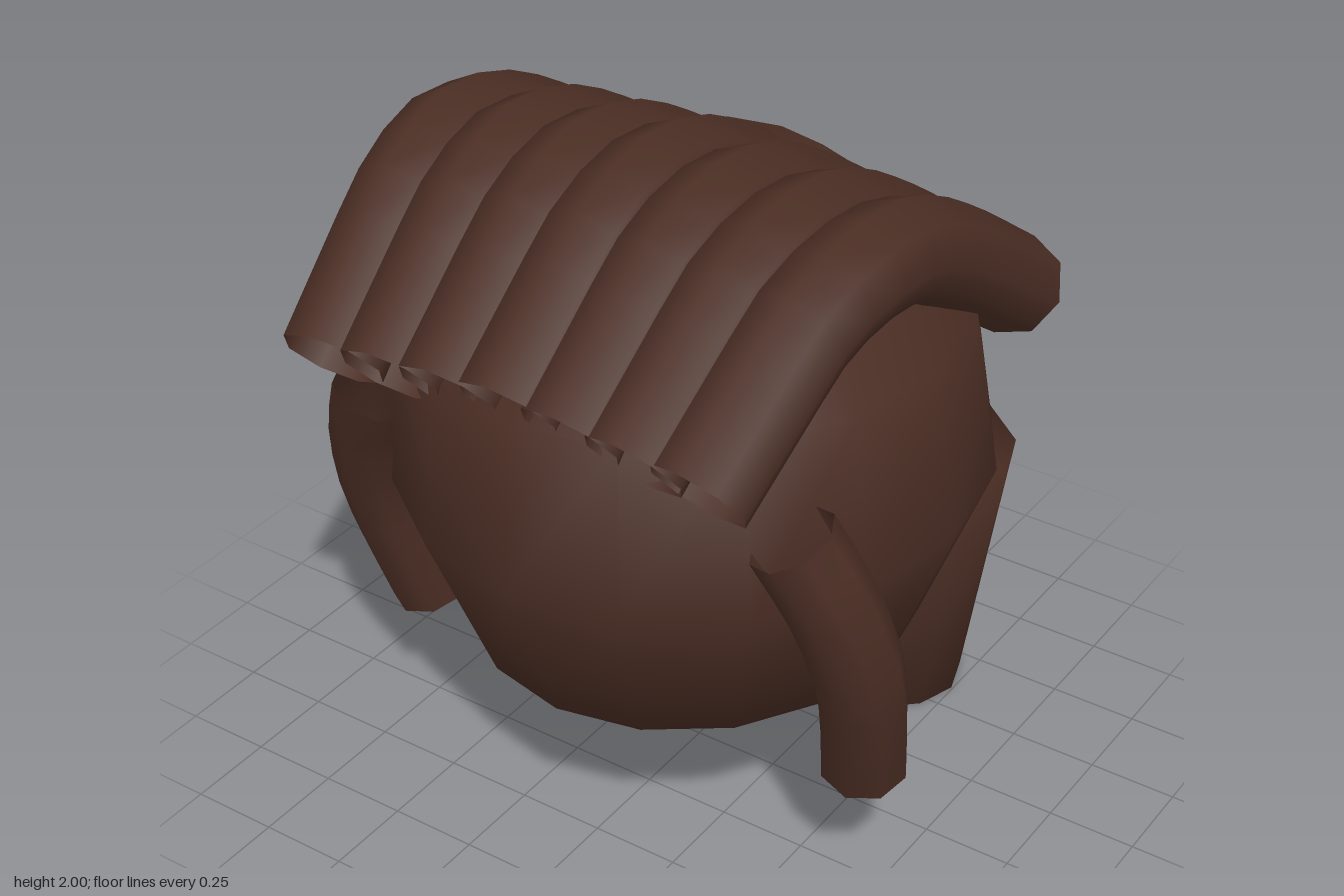
import * as THREE from 'three';

const brown = new THREE.MeshStandardMaterial({ color: 0x4b2e24, side: THREE.DoubleSide });
brown.name = 'dark brown hair';

// Closed, smooth loft through elliptical rings listed upwards as [y, centre z, radius x, radius z]
function loft(rings, sides = 16) {
  const pos = [], index = [];
  for (const [y, cz, rx, rz] of rings) {
    for (let i = 0; i < sides; i++) {
      const a = (i / sides) * Math.PI * 2;
      pos.push(Math.sin(a) * rx, y, cz + Math.cos(a) * rz);
    }
  }
  for (let r = 0; r < rings.length - 1; r++) {
    for (let i = 0; i < sides; i++) {
      const j = (i + 1) % sides, a = r * sides, b = a + sides;
      index.push(a + i, a + j, b + j, a + i, b + j, b + i);
    }
  }
  // end caps
  const last = rings.length - 1, low = pos.length / 3, high = low + 1;
  pos.push(0, rings[0][0], rings[0][1], 0, rings[last][0], rings[last][1]);
  for (let i = 0; i < sides; i++) {
    const j = (i + 1) % sides;
    index.push(low, j, i, high, last * sides + i, last * sides + j);
  }
  const g = new THREE.BufferGeometry();
  g.setAttribute('position', new THREE.Float32BufferAttribute(pos, 3));
  g.setIndex(index);
  g.computeVertexNormals();
  return g;
}

// Open eight-sided lock of hair along a smooth path
function lock(points, radius, segments) {
  const curve = new THREE.CatmullRomCurve3(points.map(p => new THREE.Vector3(...p)));
  return new THREE.TubeGeometry(curve, segments, radius, 8, false);
}

export function createModel() {
  const group = new THREE.Group();
  const add = (name, geometry) => {
    const mesh = new THREE.Mesh(geometry, brown);
    mesh.name = name;
    group.add(mesh);
  };

  // Rounded cap of hair with a flat underside
  add('hairCap', loft([
    [0.525, 0.01, 0.605, 0.655],
    [1.0, 0.01, 0.79, 0.845],
    [1.48, 0.04, 0.73, 0.78],
    [1.77, 0.02, 0.38, 0.405],
  ]));

  // Tapered mass hanging at the back
  add('backHair', loft([
    [0, -0.5875, 0.495, 0.3025],
    [0.88, -0.5, 0.67, 0.365],
  ]));

  // Seven locks combed over the crown, drawing together at the front: [z, y]
  const sweep = [[0.81, 1.515], [0.6, 1.68], [0.42, 1.81], [0.22, 1.863],
    [0.03, 1.825], [-0.2, 1.7], [-0.57, 1.445]];
  for (let i = -3; i <= 3; i++) {
    const path = sweep.map(([z, y]) => {
      const pinch = 1 - 0.12 * Math.max(0, (z - 0.22) / 0.59);
      return [i * 0.205 * pinch, y - 0.014 * Math.abs(i), z];
    });
    add('crownLock' + (i + 4), lock(path, 0.137, 14));
  }

  // Bowed locks in front of the ears: [x, y], leaning back towards the bottom
  const bow = [[0.635, 1.24], [0.715, 1.05], [0.757, 0.82], [0.745, 0.65], [0.71, 0.42]];
  for (const [name, s] of [['leftSideLock', 1], ['rightSideLock', -1]]) {
    add(name, lock(bow.map(([x, y]) => [s * x, y, 0.55 - (1.24 - y) * 0.313]), 0.118, 8));
  }
  return group;
}
